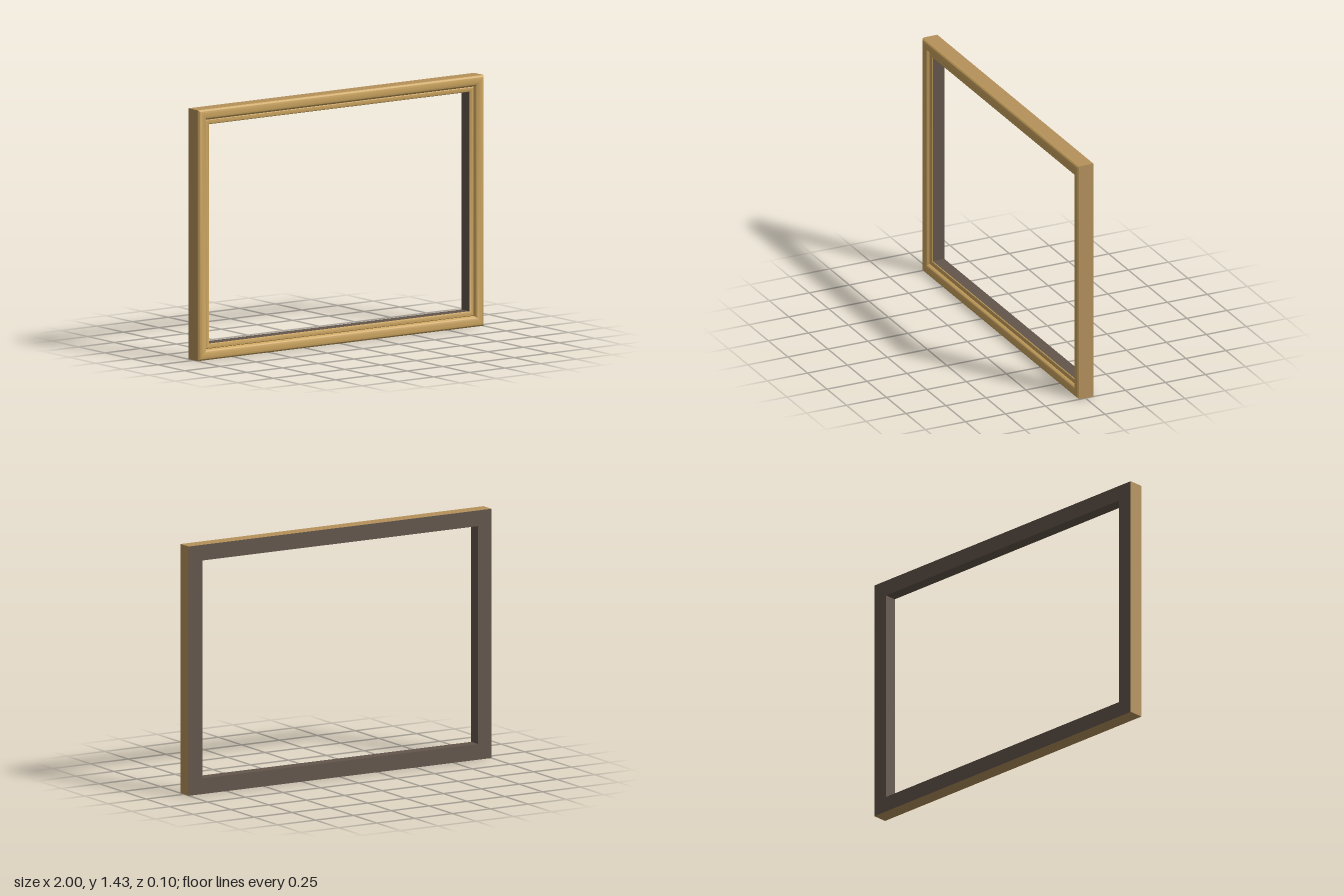
import * as THREE from 'three';
import { toCreasedNormals } from 'three/addons/utils/BufferGeometryUtils.js';

const HALF_WIDTH = 1, HEIGHT = 1.43;

// Corners of the rectangle lying `inset` inside the outer edge, anticlockwise from the front
function corners(inset) {
  const x = HALF_WIDTH - inset, top = HEIGHT - inset;
  return [[-x, inset], [x, inset], [x, top], [-x, top]];
}

// Sweep a profile of [inset, z] points round the rectangle with mitred corners
function mitredSweep(profile) {
  const positions = [];
  for (let side = 0; side < 4; side++) {
    for (let i = 0; i < profile.length - 1; i++) {
      const [d0, z0] = profile[i], [d1, z1] = profile[i + 1];
      const a = [...corners(d0)[side], z0];
      const b = [...corners(d0)[(side + 1) % 4], z0];
      const c = [...corners(d1)[(side + 1) % 4], z1];
      const d = [...corners(d1)[side], z1];
      positions.push(...a, ...b, ...c, ...a, ...c, ...d);
    }
  }
  const geometry = new THREE.BufferGeometry();
  geometry.setAttribute('position', new THREE.Float32BufferAttribute(positions, 3));
  return toCreasedNormals(geometry, 0.6);
}

export function createModel() {
  const gold = new THREE.MeshStandardMaterial({ name: 'gold', color: 0xcba45f });
  const tan = new THREE.MeshStandardMaterial({ name: 'tan wood', color: 0xb5925c });
  const dark = new THREE.MeshStandardMaterial({ name: 'dark wood', color: 0x63564b });

  // Rounded outer moulding, a sharp groove, then the low inner lip
  const bead = new THREE.SplineCurve([
    [0, 0.035], [0.004, 0.043], [0.014, 0.049], [0.03, 0.05], [0.046, 0.047], [0.056, 0.04], [0.06, 0.032],
  ].map(([d, z]) => new THREE.Vector2(d, z))).getPoints(24).map((p) => [p.x, p.y]);
  const lip = [[0.062, 0.027], [0.065, 0.03], [0.072, 0.031], [0.08, 0.03], [0.087, 0.027], [0.09, 0.022]];

  const parts = [
    ['frontMoulding', [...bead, ...lip], gold],
    ['outerSides', [[0, -0.05], [0, 0.035]], tan],
    ['innerWalls', [[0.09, 0.022], [0.09, -0.05]], dark],
    ['backFace', [[0.09, -0.05], [0, -0.05]], dark],
  ];

  const frame = new THREE.Group();
  frame.name = 'pictureFrame';
  for (const [name, profile, material] of parts) {
    const mesh = new THREE.Mesh(mitredSweep(profile), material);
    mesh.name = name;
    frame.add(mesh);
  }
  return frame;
}
